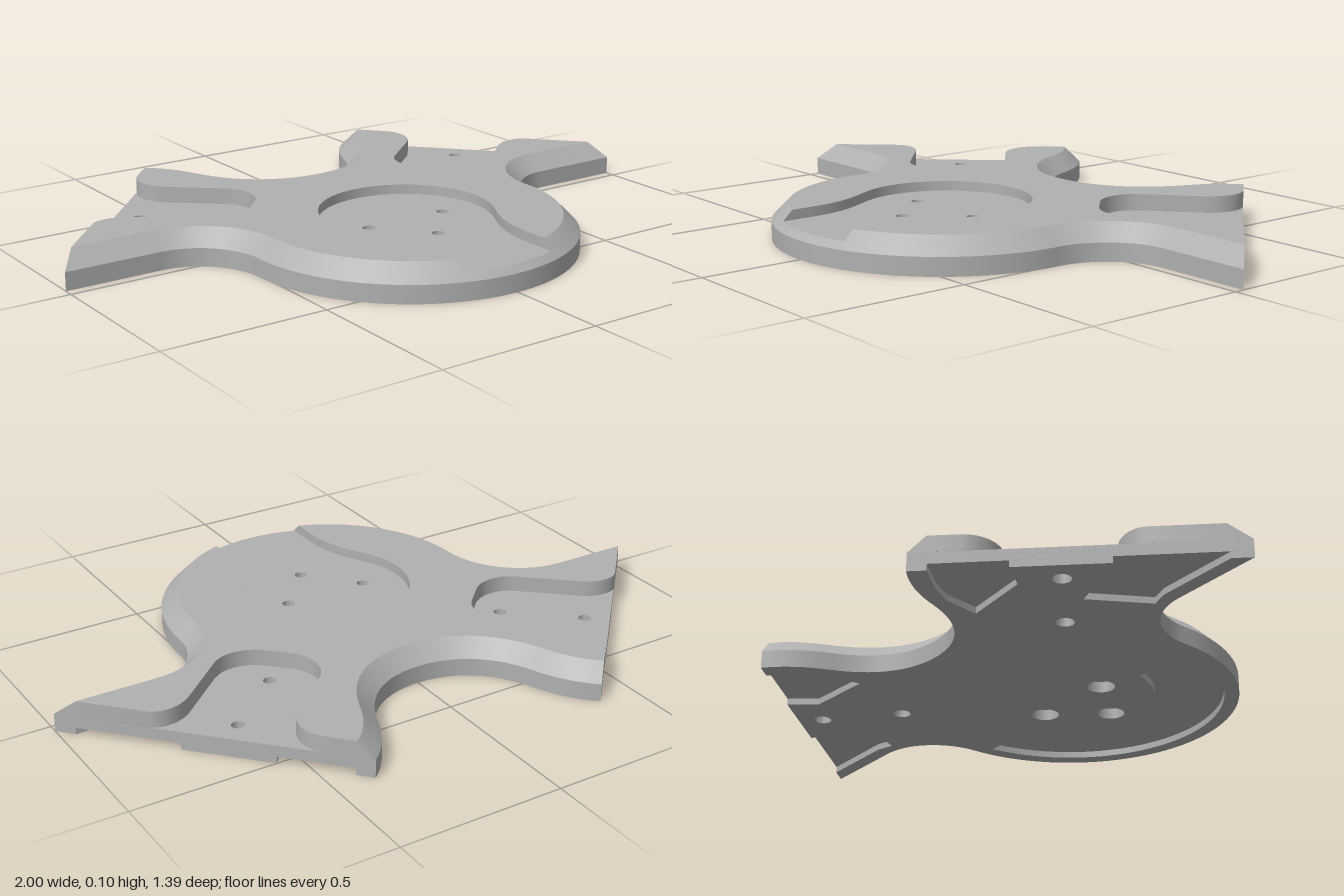
import * as THREE from 'three';
import { toCreasedNormals } from 'three/addons/utils/BufferGeometryUtils.js';

// All plan points are Vector2 (x, z)
const pt = ([x, z]) => new THREE.Vector2(x, z);
const pts = (...list) => list.map(pt);

function arc(cx, cz, r, a0, a1, n = 24) {
  return Array.from({ length: n + 1 }, (_, i) => {
    const a = a0 + (a1 - a0) * i / n;
    return new THREE.Vector2(cx + r * Math.cos(a), cz + r * Math.sin(a));
  });
}

const bezier = (...p) => new THREE.CubicBezierCurve(...p.map(pt));

// Points of a curve moved inward by off
function inset(curve, off, n) {
  return Array.from({ length: n + 1 }, (_, i) => {
    const t = curve.getTangent(i / n), p = curve.getPoint(i / n);
    return new THREE.Vector2(p.x + t.y * off, p.y - t.x * off);
  });
}

const mirror = (list) => list.map((p) => new THREE.Vector2(-p.x, p.y)).reverse();

// Edge curves of the left half
const waist = bezier([0.51, 0.18], [0.51, 0.07], [0.59, -0.03], [0.71, -0.03]);
const backLobe = bezier([0.38, -0.7], [0.33, -0.66], [0.29, -0.6], [0.265, -0.53]);
const backBay = bezier([0.265, -0.53], [0.22, -0.41], [0.13, -0.335], [0, -0.335]);

// Pocket open to the front, with a round inner end
const pocketEnd = Math.atan2(0.11, 0.235);
const frontPocket = [
  ...arc(0, 0.18, 0.26, -Math.PI / 2, pocketEnd, 28),
  ...bezier([0.235, 0.291], [0.205, 0.355], [0.155, 0.41], [0.155, 0.55]).getPoints(12).slice(1),
];

// Pocket open to each slanted arm end
const armPocket = [
  ...bezier([0.807, -0.239], [0.77, -0.262], [0.72, -0.255], [0.68, -0.22]).getPoints(8),
  ...bezier([0.53, -0.085], [0.49, -0.05], [0.42, -0.05], [0.375, -0.095]).getPoints(8),
  ...bezier([0.315, -0.155], [0.275, -0.2], [0.275, -0.275], [0.32, -0.315]).getPoints(8),
  ...bezier([0.46, -0.435], [0.51, -0.48], [0.515, -0.55], [0.48, -0.592]).getPoints(8),
  pt([0.435, -0.641]),
];

// Shallow hollows under the arm ends
const armHollows = pts(
  [0.958, -0.075], [0.7, -0.075], [0.645, -0.058], [0.545, -0.229], [0.75, -0.3],
  [0.565, -0.5], [0.503, -0.424], [0.295, -0.409], [0.31, -0.52], [0.346, -0.58], [0.417, -0.66]);

// Whole outline, inset by off, with optional cuts at the arm ends and front
function outline(off, armCut = [], frontCut = []) {
  const r = 0.51 - off;
  const a0 = frontCut.length ? Math.acos(0.155 / r) : Math.PI / 2;
  const half = [
    ...frontCut,
    ...arc(0, 0.18, r, a0, 0, 32),
    ...inset(waist, off, 16).slice(1),
    pt([1 - 0.925 * off, -0.03 - off]),
    ...armCut,
    pt([0.38 + 0.7 * off, -0.7 + 0.757 * off]),
    ...inset(backLobe, off, 8).slice(1),
    ...inset(backBay, off, 16).slice(1),
  ];
  return [...half, ...mirror(half).slice(1, -1)];
}

const holes = (centres, r) => centres.map(([x, z]) => arc(x, z, r, 0, Math.PI * 2, 20).slice(0, -1));
const frontScrews = [[0.135, 0.18], [-0.135, 0.18], [0, 0.335]];
const armScrews = [[0.6, -0.35], [-0.6, -0.35], [0.405, -0.18], [-0.405, -0.18]];

// Slab between two contours of equal point count, with straight holes
function slab(name, y0, y1, low, high, cuts, material) {
  const pos = [];
  const put = (p, y) => pos.push(p.x, y, p.y);
  const loops = cuts.map((c) => (THREE.ShapeUtils.area(c) > 0 ? c : c.slice().reverse()));

  const cap = (contour, y, up) => {
    const all = [contour, ...loops].flat();
    for (const [i, j, k] of THREE.ShapeUtils.triangulateShape(contour.slice(), loops.map((l) => l.slice()))) {
      const a = all[i], b = all[j], c = all[k];
      const facesDown = (b.x - a.x) * (c.y - a.y) - (b.y - a.y) * (c.x - a.x) > 0;
      (facesDown === up ? [a, c, b] : [a, b, c]).forEach((p) => put(p, y));
    }
  };
  const wall = (lo, hi) => lo.forEach((a, i) => {
    const j = (i + 1) % lo.length;
    put(a, y0); put(lo[j], y0); put(hi[j], y1);
    put(a, y0); put(hi[j], y1); put(hi[i], y1);
  });

  cap(low, y0, false);
  cap(high, y1, true);
  wall(low, high);
  loops.forEach((l) => wall(l, l));

  const geometry = new THREE.BufferGeometry();
  geometry.setAttribute('position', new THREE.Float32BufferAttribute(pos, 3));
  const mesh = new THREE.Mesh(toCreasedNormals(geometry, 0.5), material);
  mesh.name = name;
  return mesh;
}

export function createModel() {
  const grey = new THREE.MeshStandardMaterial({ color: 0xb0b0b0 });
  grey.name = 'grey';
  const group = new THREE.Group();
  group.name = 'mountingPlate';

  // Underside: hollow arm ends, crescent hollow and counterbores
  const crescent = [
    ...arc(0, 0.18, 0.465, 0.086, Math.PI - 0.086, 48),
    ...arc(0, 0.15, 0.275, Math.PI - 0.257, 0.257, 32),
  ];
  const counterbores = [...holes(frontScrews, 0.042), ...holes(armScrews, 0.027)];
  const foot = outline(0, armHollows);
  group.add(slab('underside', 0, 0.02, foot, foot, [crescent, ...counterbores], grey));

  // Solid core with screw holes; its top is the arm pocket floor
  const full = outline(0);
  group.add(slab('counterboreLayer', 0.02, 0.035, full, full, counterbores, grey));
  group.add(slab('corePlate', 0.035, 0.055, full, full, holes([...frontScrews, ...armScrews], 0.019), grey));

  // Bevelled upper body; the first layer's top is the front pocket floor
  group.add(slab('lowerBevel', 0.055, 0.075, outline(0, armPocket), outline(0.02, armPocket),
    holes(frontScrews, 0.019), grey));
  group.add(slab('upperBevel', 0.075, 0.105, outline(0.02, armPocket, frontPocket),
    outline(0.05, armPocket, frontPocket), [], grey));

  return group;
}
